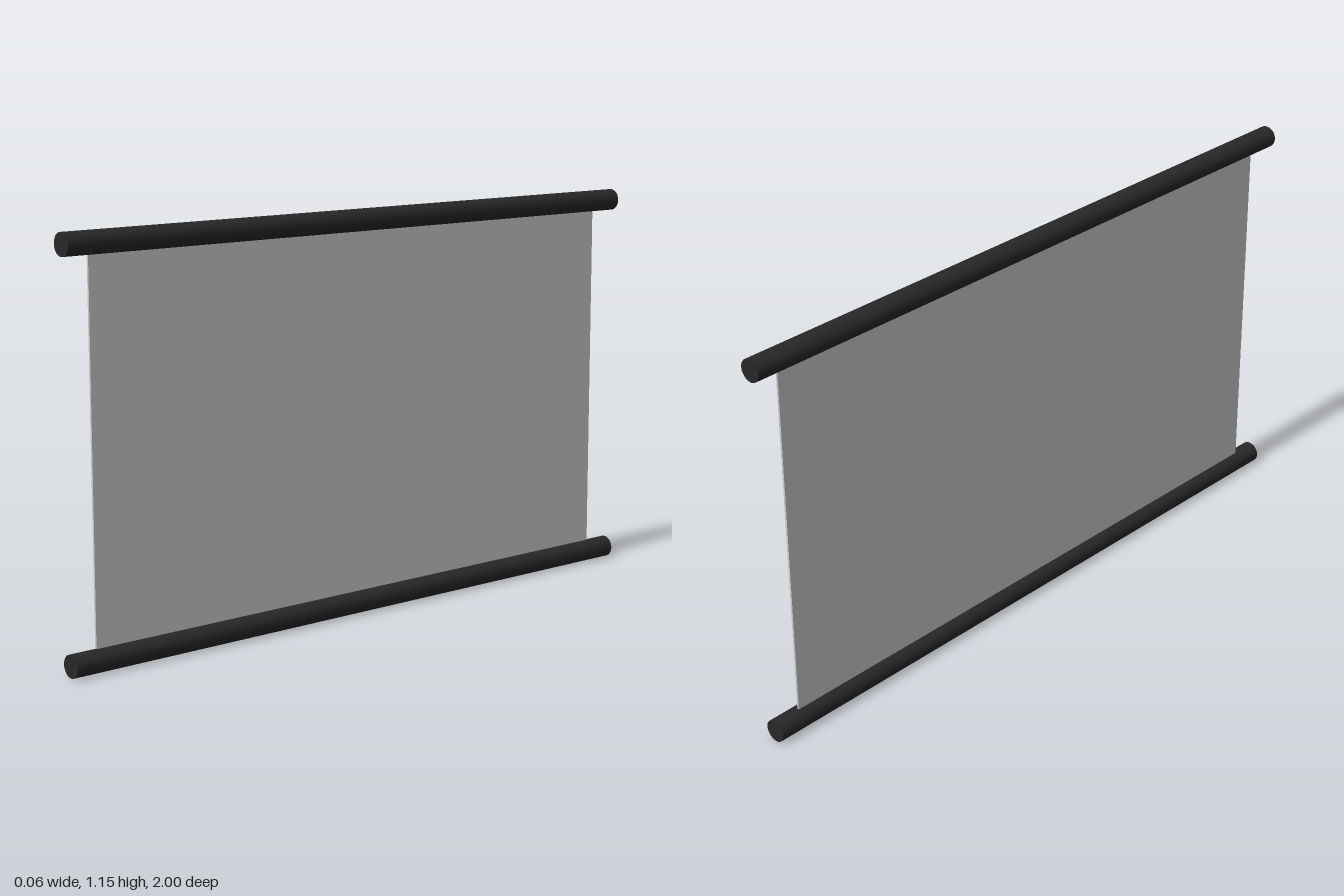
import * as THREE from 'three';

const BAR_RADIUS = 0.0315;
const TOP_Y = 1.115;

export function createModel() {
  const model = new THREE.Group();
  const barMaterial = new THREE.MeshStandardMaterial({ color: 0x282828 });
  const panelMaterial = new THREE.MeshStandardMaterial({ color: 0xc0c0c0 });

  // Round bars running along z, at the bottom and top of the screen
  const barGeometry = new THREE.CylinderGeometry(BAR_RADIUS, BAR_RADIUS, 2, 24).rotateX(Math.PI / 2);
  for (const [name, y] of [['bottomBar', BAR_RADIUS], ['topBar', TOP_Y]]) {
    const bar = new THREE.Mesh(barGeometry, barMaterial);
    bar.name = name;
    bar.position.y = y;
    model.add(bar);
  }

  // Thin sheet stretched between the bars, its ends held inside them
  const panel = new THREE.Mesh(
    new THREE.BoxGeometry(0.006, TOP_Y - BAR_RADIUS, 1.84),
    panelMaterial
  );
  panel.name = 'screenPanel';
  panel.position.set(-0.003, (TOP_Y + BAR_RADIUS) / 2, 0);
  model.add(panel);

  return model;
}
